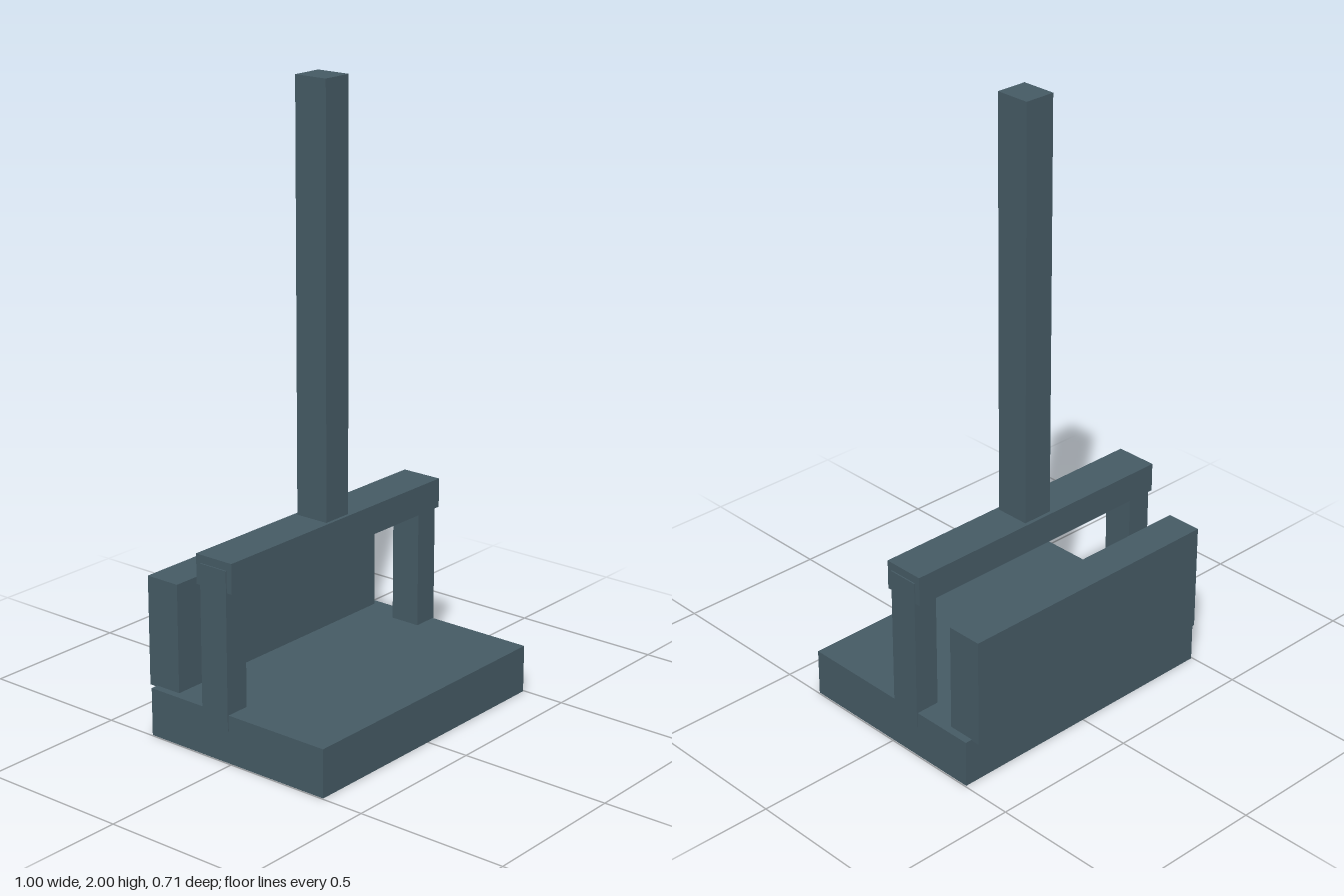
import * as THREE from 'three';

const slate = new THREE.MeshStandardMaterial({ color: 0x455a64 });
slate.name = 'slate blue grey';

// Box given by its extents along each axis
function block(name, [x0, x1], [y0, y1], [z0, z1]) {
  const mesh = new THREE.Mesh(new THREE.BoxGeometry(x1 - x0, y1 - y0, z1 - z0), slate);
  mesh.position.set((x0 + x1) / 2, (y0 + y1) / 2, (z0 + z1) / 2);
  mesh.name = name;
  return mesh;
}

export function createModel() {
  const model = new THREE.Group();
  model.name = 'handledStand';

  // Base slab and the upright panel behind it
  model.add(block('base', [-0.496, 0.496], [0, 0.156], [-0.326, 0.355]));
  model.add(block('backPanel', [-0.471, 0.471], [0.152, 0.508], [-0.355, -0.235]));

  // Side posts, slightly proud of the base and sunk into it
  for (const [name, side] of [['leftPost', 1], ['rightPost', -1]]) {
    const post = block(name, [0.415, 0.5], [0.105, 0.615], [-0.113, -0.011]);
    post.position.x *= side;
    model.add(post);
  }

  // Crossbar over the posts, with the tall handle on top
  model.add(block('crossbar', [-0.496, 0.496], [0.545, 0.641], [-0.131, 0.008]));
  model.add(block('handle', [-0.052, 0.052], [0.62, 2], [-0.119, -0.003]));

  return model;
}
